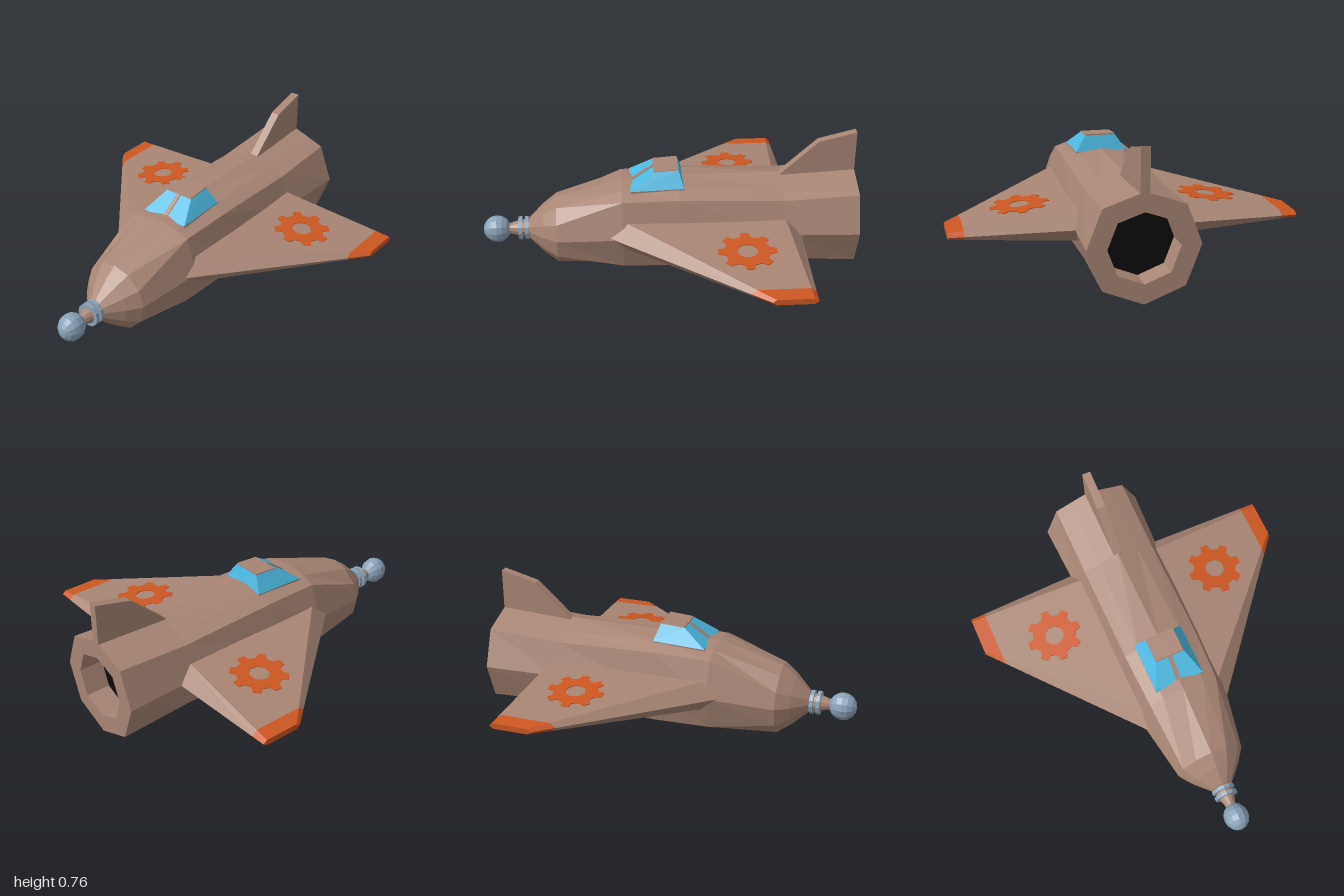
import * as THREE from 'three';

const mat = (name, color) => {
  const m = new THREE.MeshStandardMaterial({ color });
  m.name = name;
  return m;
};

// Faceted normals without shared vertices
const facet = (geo) => {
  const g = geo.index ? geo.toNonIndexed() : geo;
  g.computeVertexNormals();
  return g;
};

// Skin closed rings of [x, y, z] points, with optional flat ends
function loft(rings, startCap = false, endCap = false) {
  const pos = [];
  const tri = (a, b, c) => pos.push(...a, ...b, ...c);
  const n = rings[0].length;
  for (let i = 0; i < rings.length - 1; i++) {
    for (let j = 0; j < n; j++) {
      const k = (j + 1) % n;
      const [a, b, c, d] = [rings[i][j], rings[i][k], rings[i + 1][k], rings[i + 1][j]];
      tri(a, b, c);
      tri(a, c, d);
    }
  }
  const last = rings[rings.length - 1];
  for (let j = 1; j < n - 1; j++) {
    if (startCap) tri(rings[0][0], rings[0][j + 1], rings[0][j]);
    if (endCap) tri(last[0], last[j], last[j + 1]);
  }
  const g = new THREE.BufferGeometry();
  g.setAttribute('position', new THREE.Float32BufferAttribute(pos, 3));
  return facet(g);
}

// Full hull ring from its right half, listed bottom to top
const hullRing = (z, half) => [
  ...half.map(([x, y]) => [x, y, z]),
  ...half.slice(1, -1).reverse().map(([x, y]) => [-x, y, z]),
];

// Round nose ring with the same point count as the hull
const noseRing = (z, r) => hullRing(z, [-90, -60, -28, 4, 32, 62, 90].map((d) => {
  const a = THREE.MathUtils.degToRad(d);
  return [Math.abs(d) === 90 ? 0 : r * Math.cos(a), 0.225 + r * Math.sin(a)];
}));

function gearShape() {
  const s = new THREE.Shape();
  const step = Math.PI / 4;
  for (let i = 0; i < 8; i++) {
    [[-0.3, 0.118], [-0.17, 0.15], [0.17, 0.15], [0.3, 0.118]].forEach(([f, r], j) => {
      const a = (i + f) * step;
      s[i + j ? 'lineTo' : 'moveTo'](r * Math.cos(a), r * Math.sin(a));
    });
  }
  s.closePath();
  s.holes.push(new THREE.Path().absarc(0, 0, 0.052, 0, Math.PI * 2, true));
  return s;
}

export function createModel() {
  const body = mat('brown hull', 0xa88574);
  const orange = mat('orange paint', 0xcc5722);
  const glass = mat('blue glass', 0x4cb8e0);
  const steel = mat('blue steel', 0x8aa2b8);
  const black = mat('black exhaust', 0x0c0c0c);

  const model = new THREE.Group();
  const add = (name, geo, material, parent = model) => {
    const m = new THREE.Mesh(geo, material);
    m.name = name;
    parent.add(m);
    return m;
  };

  // Fuselage with a recessed exhaust at the rear
  const rear = hullRing(-1, [[0, 0], [0.1, 0.04], [0.2, 0.08], [0.275, 0.28], [0.2, 0.475], [0.11, 0.507], [0, 0.545]]);
  const inner = (z) => rear.map(([x, y]) => [x * 0.64, 0.275 + (y - 0.275) * 0.64, z]);
  const rings = [
    inner(-0.87), inner(-1), rear,
    hullRing(-0.6, [[0, 0.03], [0.1, 0.065], [0.2, 0.1], [0.258, 0.28], [0.2, 0.455], [0.115, 0.487], [0, 0.525]]),
    hullRing(-0.05, [[0, 0.03], [0.1, 0.05], [0.2, 0.08], [0.252, 0.28], [0.2, 0.475], [0.125, 0.508], [0, 0.525]]),
    hullRing(0.25, [[0, 0.047], [0.1, 0.053], [0.19, 0.082], [0.25, 0.275], [0.19, 0.468], [0.115, 0.495], [0, 0.51]]),
    noseRing(0.6, 0.188), noseRing(0.67, 0.135), noseRing(0.75, 0.058),
  ];
  add('fuselage', loft(rings, false, true), body);
  add('exhaustFloor', loft([inner(-0.869), inner(-0.868)], true), black);

  // Wings: six-sided sections tapering from root to tip
  const wingSection = (x, side) => {
    const t = (x - 0.24) / 0.63;
    const at = (root, tip) => root + (tip - root) * t;
    const y = 0.28, h = at(0.078, 0.015);
    const front = at(0.205, -0.47), back = at(-0.61, -0.655);
    const ring = [
      [y, at(0.31, -0.45)], [y - h, front], [y - h, back],
      [y, at(-0.69, -0.675)], [y + h, back], [y + h, front],
    ].map(([py, pz]) => [side * x, py, pz]);
    return side > 0 ? ring : ring.reverse();
  };
  const gear = new THREE.ExtrudeGeometry(gearShape(), { depth: 0.004, bevelEnabled: false, curveSegments: 8 });
  gear.rotateX(-Math.PI / 2);
  for (const side of [1, -1]) {
    const wing = new THREE.Group();
    wing.name = side > 0 ? 'leftWing' : 'rightWing';
    model.add(wing);
    add('wingPanel', loft([wingSection(0.2, side), wingSection(0.79, side)]), body, wing);
    add('wingTip', loft([wingSection(0.79, side), wingSection(0.87, side)], false, true), orange, wing);
    const emblem = add('gearEmblem', gear, orange, wing);
    emblem.position.set(side * 0.487, 0.3335, -0.375);
    emblem.rotation.z = -side * Math.atan(0.1);
  }

  // Tail fin
  const finShape = new THREE.Shape([[1, 0.48], [1, 0.757], [0.8, 0.707], [0.6, 0.523], [0.6, 0.48]]
    .map(([z, y]) => new THREE.Vector2(z, y)));
  const fin = new THREE.ExtrudeGeometry(finShape, { depth: 0.046, bevelEnabled: false });
  fin.rotateY(Math.PI / 2).translate(-0.023, 0, 0);
  add('tailFin', fin, body);

  // Canopy: sloping glass, roof plate and centre pillar
  const deck = (w, zf, yf, zb, yb) => [[w, yf, zf], [w, yb, zb], [-w, yb, zb], [-w, yf, zf]];
  const sill = deck(0.135, 0.205, 0.5, -0.078, 0.51);
  const eaves = deck(0.08, 0.08, 0.584, -0.052, 0.592);
  const floor = deck(0.135, 0.205, 0.47, -0.078, 0.47);
  add('canopyBase', loft([floor, sill]), body);
  add('canopyGlass', loft([sill, eaves]), glass);
  add('canopyRoof', loft([eaves, deck(0.078, 0.078, 0.589, -0.052, 0.598)], false, true), body);
  add('canopyPillar', loft([
    deck(0.013, 0.209, 0.502, 0.2, 0.498), deck(0.011, 0.083, 0.588, 0.076, 0.584),
  ], false, true), body);

  // Nose probe: neck, two collars and a ball
  const probe = new THREE.Group();
  probe.name = 'noseProbe';
  probe.position.y = 0.225;
  model.add(probe);
  const neck = [[0.046, 0.74], [0.046, 0.8], [0.024, 0.87]].map(([r, z]) => new THREE.Vector2(r, z));
  add('probeNeck', facet(new THREE.LatheGeometry(neck, 12).rotateX(Math.PI / 2)), body, probe);
  for (const z of [0.765, 0.8]) {
    add('probeCollar', facet(new THREE.CylinderGeometry(0.063, 0.063, 0.02, 12).rotateX(Math.PI / 2)), steel, probe)
      .position.z = z;
  }
  const ball = facet(new THREE.SphereGeometry(0.074, 12, 8).rotateX(Math.PI / 2));
  const ballMesh = add('probeBall', ball, steel, probe);
  ballMesh.scale.x = 0.91;
  ballMesh.position.z = 0.926;

  return model;
}
